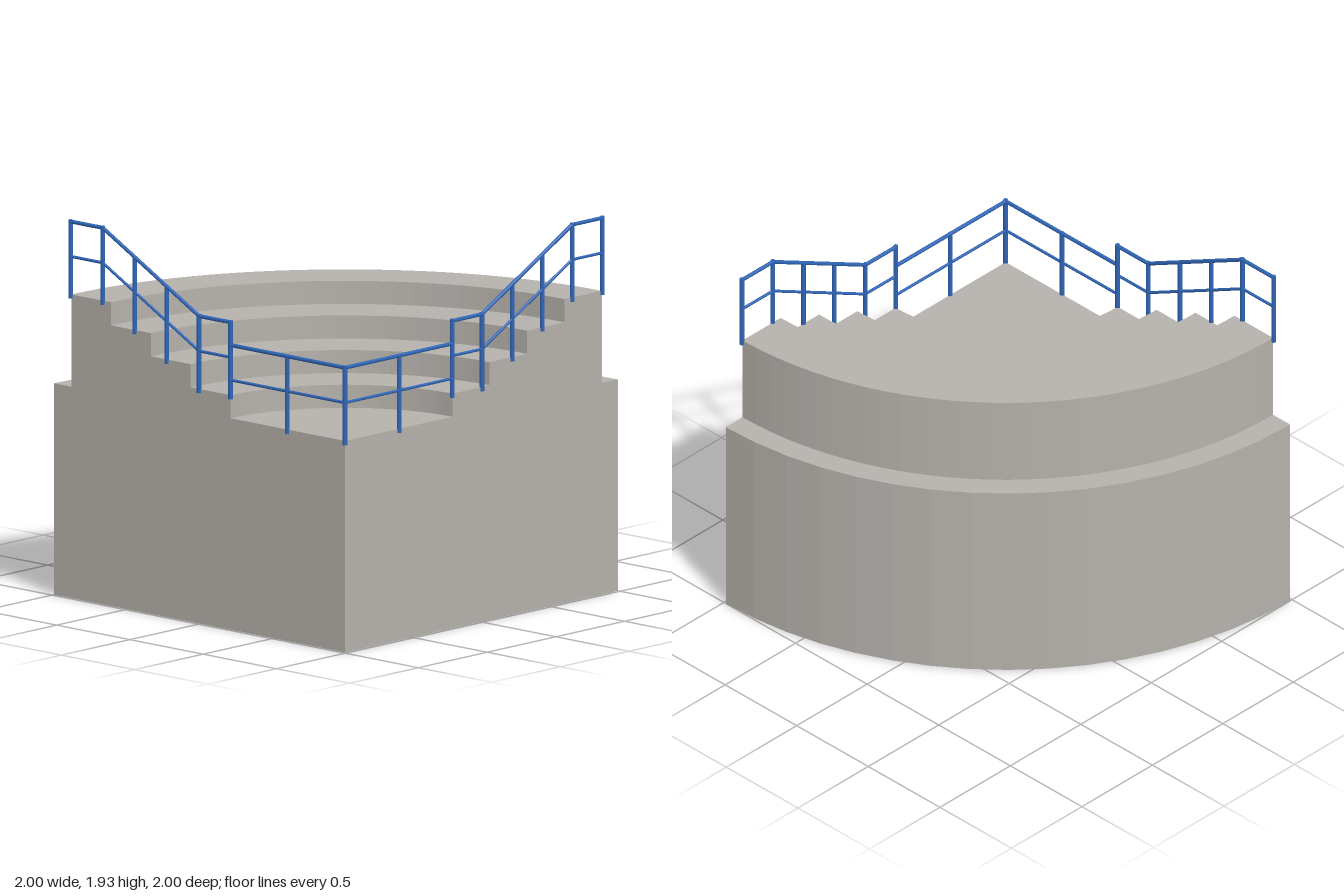
import * as THREE from 'three';

const C = 0.987; // x and z of the square corner, centre of all arcs
const FLOOR = 1.077;
const STEP = 0.1175;

// Quarter ring (or full quarter disc when inner is 0) standing between two heights
function quarterRing(inner, outer, y0, y1, segments) {
  const pts = [];
  const arc = (r, i) => {
    const a = Math.PI / 2 * (1 + i / segments);
    return new THREE.Vector2(C + r * Math.cos(a), -C + r * Math.sin(a));
  };
  for (let i = 0; i <= segments; i++) pts.push(arc(outer, i));
  if (inner > 0) for (let i = segments; i >= 0; i--) pts.push(arc(inner, i));
  else pts.push(new THREE.Vector2(C, -C));
  const geo = new THREE.ExtrudeGeometry(new THREE.Shape(pts), { depth: y1 - y0, bevelEnabled: false });
  return geo.rotateX(-Math.PI / 2).translate(0, y0, 0);
}

// Round bar between two points
function bar(a, b, radius, material, name) {
  const dir = b.clone().sub(a);
  const mesh = new THREE.Mesh(new THREE.CylinderGeometry(radius, radius, dir.length(), 10), material);
  mesh.position.copy(a).add(b).multiplyScalar(0.5);
  mesh.quaternion.setFromUnitVectors(new THREE.Vector3(0, 1, 0), dir.normalize());
  mesh.name = name;
  return mesh;
}

export function createModel() {
  const concrete = new THREE.MeshStandardMaterial({ name: 'concrete', color: 0xb5b1ac });
  const railBlue = new THREE.MeshStandardMaterial({ name: 'rail blue', color: 0x2f66b8 });
  const model = new THREE.Group();
  model.name = 'seatingCorner';

  // Plinth
  const base = new THREE.Mesh(quarterRing(0, 1.987, 0, FLOOR, 16), concrete);
  base.name = 'base';
  model.add(base);

  // Rising curved steps
  const radii = [0.781, 1.053, 1.325, 1.597, 1.868];
  for (let i = 0; i < 4; i++) {
    const tier = new THREE.Mesh(quarterRing(radii[i], radii[i + 1], FLOOR, FLOOR + STEP * (i + 1), 32), concrete);
    tier.name = 'tier' + (i + 1);
    model.add(tier);
  }

  // Posts: position along the side, bottom, top
  const posts = [
    [-0.885, 1.527, 1.927], [-0.666, 1.527, 1.927], [-0.449, 1.41, 1.805], [-0.23, 1.292, 1.688],
    [-0.009, 1.175, 1.575], [0.206, 1.175, 1.575], [0.593, 1.057, 1.455]
  ];
  // Top rail runs; the middle rail follows 0.178 lower
  const upperRun = [[-0.885, 1.918], [-0.666, 1.918], [-0.009, 1.566], [0.206, 1.566]];
  const lowerRun = [[0.206, 1.45], [C, 1.45]];

  const sides = {
    frontRailing: (u, y) => new THREE.Vector3(u, y, C),
    leftRailing: (u, y) => new THREE.Vector3(C, y, u)
  };
  for (const [name, at] of Object.entries(sides)) {
    const railing = new THREE.Group();
    railing.name = name;
    for (const [u, y0, y1] of posts) railing.add(bar(at(u, y0), at(u, y1), 0.012, railBlue, 'post'));
    for (const run of [upperRun, lowerRun]) {
      for (let i = 0; i + 1 < run.length; i++) {
        const [a, b] = [run[i], run[i + 1]];
        railing.add(bar(at(...a), at(...b), 0.01, railBlue, 'topRail'));
        railing.add(bar(at(a[0], a[1] - 0.178), at(b[0], b[1] - 0.178), 0.0075, railBlue, 'middleRail'));
      }
    }
    model.add(railing);
  }

  // Post shared by both railings
  model.add(bar(new THREE.Vector3(C, 1.057, C), new THREE.Vector3(C, 1.46, C), 0.0125, railBlue, 'cornerPost'));
  return model;
}
